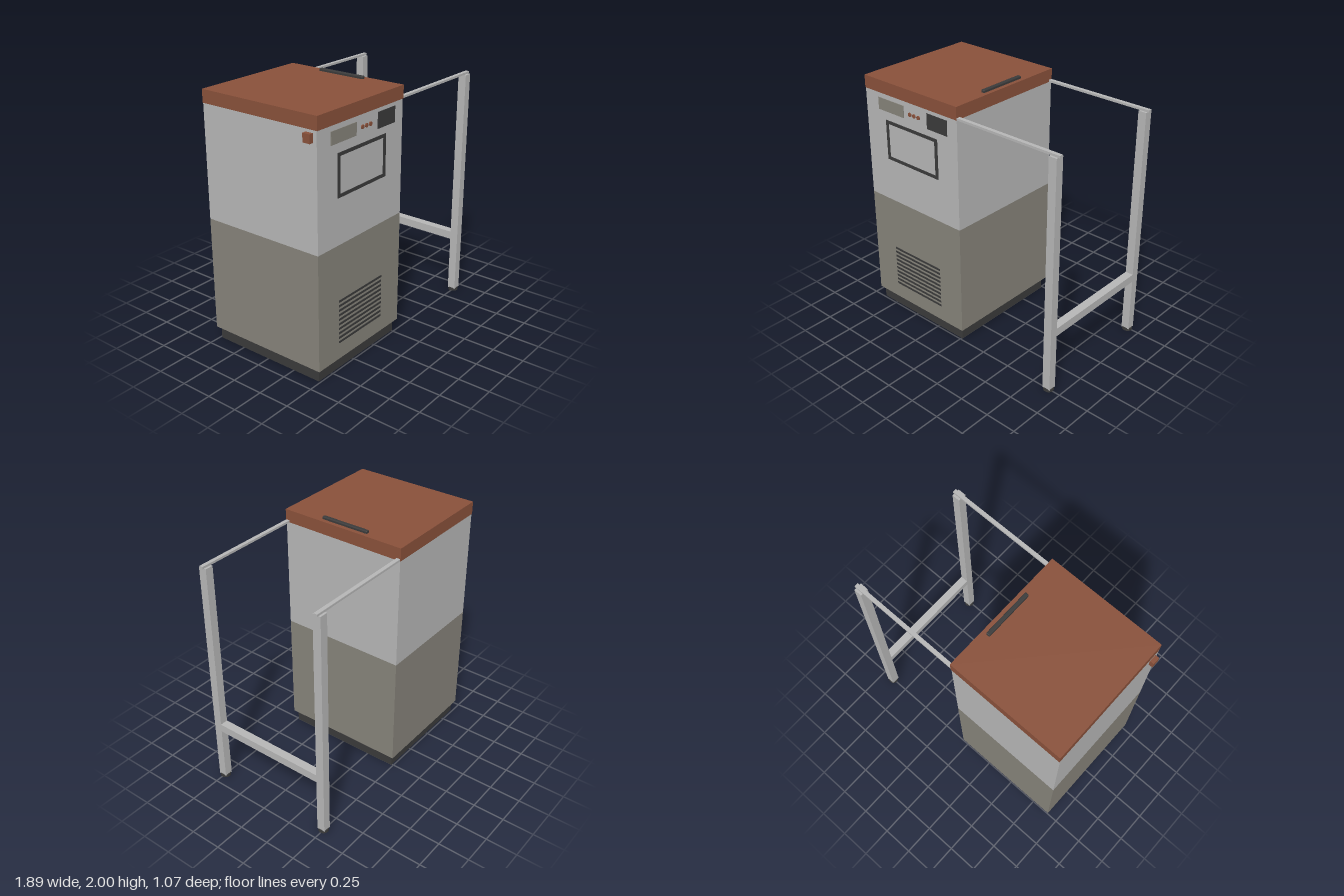
import * as THREE from 'three';
import { RoundedBoxGeometry } from 'three/addons/geometries/RoundedBoxGeometry.js';

function material(name, color) {
  const m = new THREE.MeshStandardMaterial({ color });
  m.name = name;
  return m;
}

export function createModel() {
  const steel = material('light steel', 0xb5b5b5);
  const taupe = material('taupe panel', 0x858279);
  const rust = material('rust red', 0x88503a);
  const black = material('charcoal', 0x3a3a3a);
  const model = new THREE.Group();
  model.name = 'cabinetWithStand';

  const add = (name, geometry, mat, x, y, z) => {
    const mesh = new THREE.Mesh(geometry, mat);
    mesh.name = name;
    mesh.position.set(x, y, z);
    model.add(mesh);
    return mesh;
  };
  // Box given by its limits on each axis
  const box = (name, mat, [x0, x1], [y0, y1], [z0, z1]) =>
    add(name, new THREE.BoxGeometry(x1 - x0, y1 - y0, z1 - z0), mat,
      (x0 + x1) / 2, (y0 + y1) / 2, (z0 + z1) / 2);

  // Cabinet
  const front = 0.511;
  box('plinth', black, [-0.89, 0.01], [0, 0.1], [-0.485, 0.485]);
  box('lowerBody', taupe, [-0.915, 0.035], [0.1, 1.005], [-front, front]);
  box('upperBody', steel, [-0.915, 0.035], [1.005, 1.88], [-front, front]);
  box('lid', rust, [-0.915, 0.037], [1.88, 1.98], [-0.516, 0.516]);
  add('lidHandle', new RoundedBoxGeometry(0.032, 0.03, 0.4, 2, 0.008), black, -0.012, 1.985, 0);
  box('sideLatch', rust, [-0.948, -0.914], [1.795, 1.86], [0.42, 0.48]);

  // Control panel
  const plate = [front - 0.002, front + 0.005];
  box('labelPlate', taupe, [-0.775, -0.505], [1.745, 1.84], plate);
  box('display', black, [-0.262, -0.062], [1.73, 1.85], plate);
  for (const x of [-0.438, -0.394, -0.35]) {
    const knob = add('knob', new THREE.CylinderGeometry(0.015, 0.015, 0.01, 20), rust, x, 1.79, front + 0.004);
    knob.rotation.x = Math.PI / 2;
  }

  // Window frame
  const rect = (path, x0, y0, x1, y1) =>
    path.moveTo(x0, y0).lineTo(x1, y0).lineTo(x1, y1).lineTo(x0, y1).closePath();
  const frame = rect(new THREE.Shape(), -0.705, 1.355, -0.166, 1.675);
  frame.holes.push(rect(new THREE.Path(), -0.68, 1.38, -0.193, 1.65));
  add('windowFrame', new THREE.ExtrudeGeometry(frame, { depth: 0.007, bevelEnabled: false }),
    black, 0, 0, front - 0.002);

  // Ventilation slots
  for (let i = 0; i < 10; i++) {
    const y = 0.238 + i * 0.0366;
    box('ventSlot', black, [-0.69, -0.19], [y - 0.0085, y + 0.0085], [front - 0.002, front + 0.003]);
  }

  // Side stand: rails, legs and feet, mirrored front to back
  for (const side of [1, -1]) {
    const z = side * 0.497;
    box('rail', steel, [0.02, 0.94], [1.88, 1.897], [z - 0.015, z + 0.015]);
    box('leg', steel, [0.864, 0.929], [0.02, 1.88], [z - 0.0325, z + 0.0325]);
    add('foot', new THREE.CylinderGeometry(0.04, 0.04, 0.025, 24), black, 0.8965, 0.0125, z);
  }
  box('crossbar', steel, [0.864, 0.929], [0.473, 0.538], [-0.465, 0.465]);

  return model;
}
